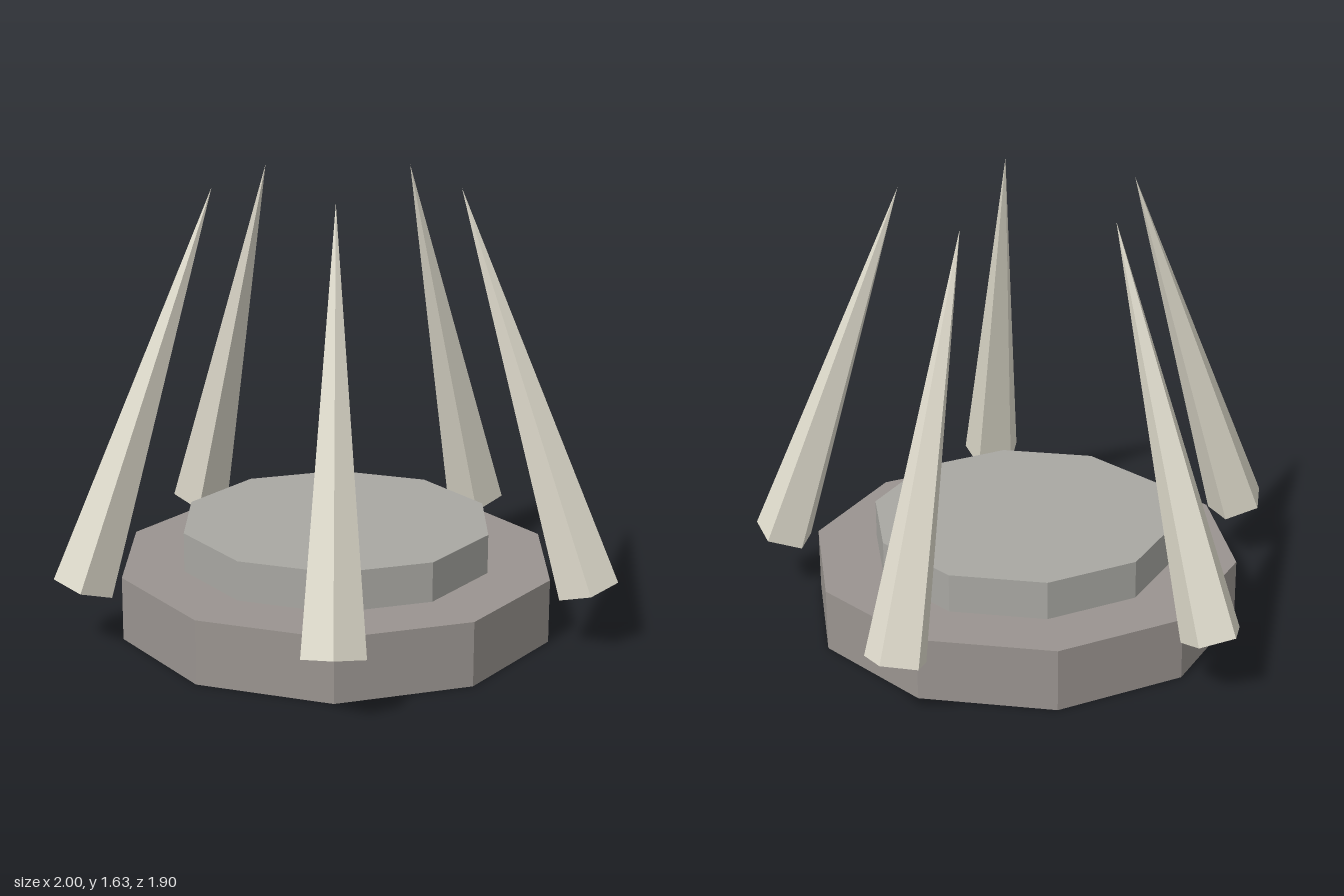
import * as THREE from 'three';

const material = (color) => new THREE.MeshStandardMaterial({ color, flatShading: true });

export function createModel() {
  const model = new THREE.Group();
  model.name = 'spikedPedestal';

  // Everything shares one vertical axis, slightly forward of the origin
  const body = new THREE.Group();
  body.name = 'body';
  body.position.z = 0.1;
  model.add(body);

  // Two stacked ten-sided steps
  const addStep = (name, radius, bottom, top, color) => {
    const height = top - bottom;
    const step = new THREE.Mesh(new THREE.CylinderGeometry(radius, radius, height, 10), material(color));
    step.name = name;
    step.position.y = bottom + height / 2;
    body.add(step);
  };
  addStep('lowerStep', 0.805, 0, 0.235, 0x9a9490);
  addStep('upperStep', 0.575, 0.235, 0.38, 0xa9a8a3);

  // Five spikes in a ring, leaning inward, one at the back
  const base = new THREE.Vector2(0.942, 0.219); // distance from axis, height
  const tip = new THREE.Vector2(0.453, 1.63);
  const spikeGeometry = new THREE.ConeGeometry(0.114, base.distanceTo(tip), 5);
  const spikeMaterial = material(0xe0dccd);
  for (let i = 0; i < 5; i++) {
    const arm = new THREE.Group();
    arm.name = `spikeArm${i + 1}`;
    arm.rotation.y = Math.PI + (i * Math.PI * 2) / 5;
    const spike = new THREE.Mesh(spikeGeometry, spikeMaterial);
    spike.name = `spike${i + 1}`;
    spike.position.set(0, (base.y + tip.y) / 2, (base.x + tip.x) / 2);
    spike.rotation.x = -Math.atan2(base.x - tip.x, tip.y - base.y);
    arm.add(spike);
    body.add(arm);
  }
  return model;
}
